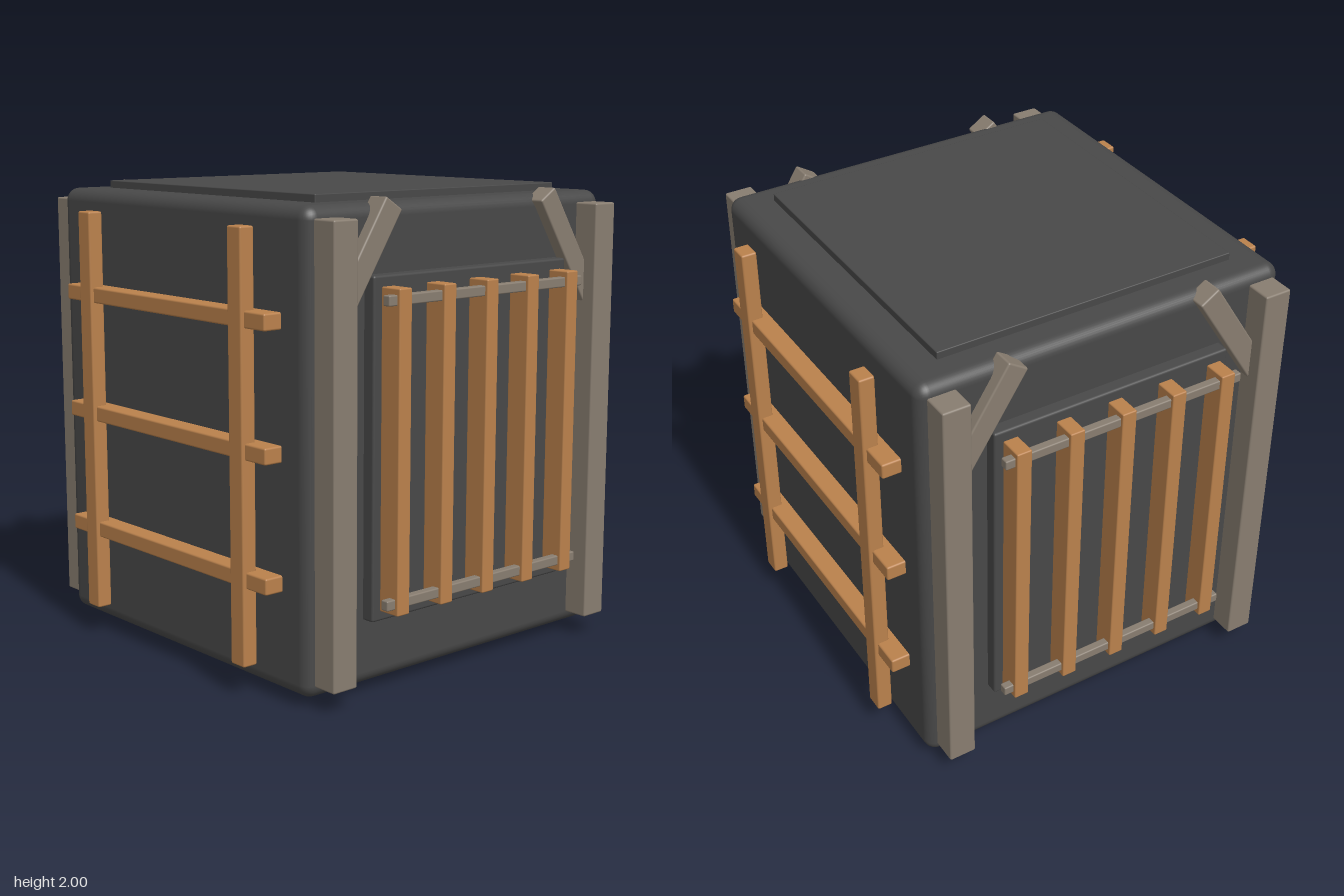
import * as THREE from 'three';
import { RoundedBoxGeometry } from 'three/addons/geometries/RoundedBoxGeometry.js';

const material = (name, color) => {
  const m = new THREE.MeshStandardMaterial({ color });
  m.name = name;
  return m;
};

export function createModel() {
  const dark = material('dark metal', 0x484848);
  const wood = material('warm wood', 0xba814c);
  const grey = material('weathered timber', 0x887d70);
  const model = new THREE.Group();
  model.name = 'crate';

  // Softly bevelled block given by its size and centre
  function block(parent, name, mat, size, pos, bevel = 0.008, segments = 2) {
    const mesh = new THREE.Mesh(new RoundedBoxGeometry(...size, segments, bevel), mat);
    mesh.name = name;
    mesh.position.set(...pos);
    parent.add(mesh);
    return mesh;
  }

  // Main box with lid and base plates
  block(model, 'body', dark, [1.68, 1.93, 1.68], [0, 1.003, 0], 0.055, 4);
  block(model, 'lidPlate', dark, [1.36, 0.08, 1.4], [0, 1.96, 0], 0.004);
  block(model, 'basePlate', dark, [1.36, 0.08, 1.4], [0, 0.04, 0], 0.004);

  // Front and back: panel, slats, cross rods, corner posts and braces
  for (const [name, turn] of [['frontFace', 0], ['backFace', Math.PI]]) {
    const face = new THREE.Group();
    face.name = name;
    face.rotation.y = turn;
    model.add(face);

    block(face, 'panel', dark, [1.1, 1.38, 0.075], [0, 1.003, 0.857], 0.01);
    for (const y of [0.403, 1.605]) {
      block(face, 'crossRod', grey, [1.11, 0.042, 0.037], [0, y, 0.968], 0.006);
    }
    for (let i = -2; i <= 2; i++) {
      block(face, 'slat', wood, [0.066, 1.295, 0.104], [i * 0.24, 1.003, 0.948], 0.006);
    }
    for (const s of [-1, 1]) {
      block(face, 'cornerPost', grey, [0.122, 1.83, 0.16], [s * 0.74, 1.005, 0.87]);
      const brace = block(face, 'brace', grey, [0.1, 0.55, 0.095], [s * 0.588, 1.735, 0.843]);
      brace.rotation.z = s * 0.57;
    }
  }

  // Left and right: horizontal rails under two upright bars
  for (const [name, s] of [['leftLadder', 1], ['rightLadder', -1]]) {
    const ladder = new THREE.Group();
    ladder.name = name;
    model.add(ladder);
    for (const y of [0.485, 1.005, 1.525]) {
      block(ladder, 'rail', wood, [0.09, 0.068, 1.375], [s * 0.878, y, 0]);
    }
    for (const z of [-0.522, 0.522]) {
      block(ladder, 'upright', wood, [0.068, 1.755, 0.085], [s * 0.905, 1.005, z]);
    }
  }
  return model;
}
